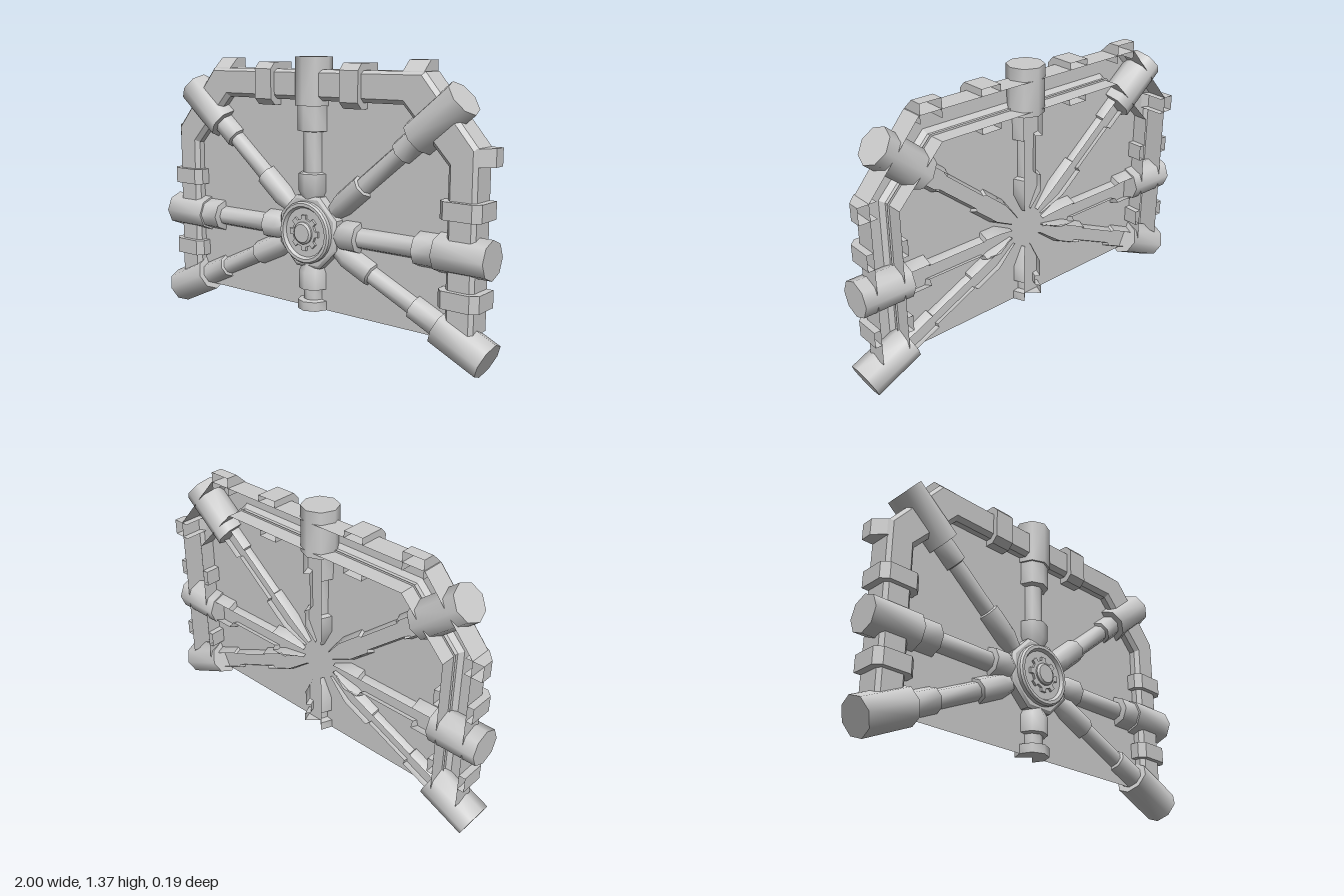
import * as THREE from 'three';
import { toCreasedNormals } from 'three/addons/utils/BufferGeometryUtils.js';

const mat = new THREE.MeshStandardMaterial({ color: 0xcccccc, side: THREE.DoubleSide });
const HUB_Y = 0.53;

function add(parent, name, geometry, crease = 0.9) {
  const mesh = new THREE.Mesh(toCreasedNormals(geometry, crease), mat);
  mesh.name = name;
  parent.add(mesh);
  return mesh;
}

const polygon = (pts) => new THREE.Shape(pts.map(([x, y]) => new THREE.Vector2(x, y)));

// Surface through rows of points, each row having the same count
function skin(rows) {
  const pos = [];
  for (let r = 0; r < rows.length - 1; r++) {
    for (let i = 0; i < rows[r].length - 1; i++) {
      const a = rows[r][i], b = rows[r][i + 1], c = rows[r + 1][i + 1], d = rows[r + 1][i];
      pos.push(...a, ...b, ...c, ...a, ...c, ...d);
    }
  }
  const g = new THREE.BufferGeometry();
  g.setAttribute('position', new THREE.Float32BufferAttribute(pos, 3));
  g.computeVertexNormals();
  return g;
}

// Spoke with its rearmost quarter open, and a closed eight-sided end cylinder
function addSpoke(parent, name, angle, s) {
  const spoke = new THREE.Group();
  spoke.name = name;
  spoke.position.y = HUB_Y;
  spoke.rotation.z = angle - Math.PI / 2;
  const profile = [
    [0.025, 0.1], [s.sleeveR, s.taper], [s.sleeveR, s.sleeve], [s.rodR, s.sleeve + 0.005],
    [s.rodR, s.collar - 0.005], [s.collarR, s.collar], [s.collarR, s.end],
  ].map(([r, y]) => new THREE.Vector2(r, y));
  if (!s.tip) profile.push(new THREE.Vector2(0, s.end));
  add(spoke, 'spokeRod', new THREE.LatheGeometry(profile, 6, -Math.PI * 0.75, Math.PI * 1.5));
  if (s.tip) {
    const end = add(spoke, 'spokeEnd', new THREE.CylinderGeometry(0.09, 0.09, s.tip - s.end, 8));
    end.position.y = (s.tip + s.end) / 2;
  }
  parent.add(spoke);
}

// Open-backed channel: each rail is three points on the right, mirrored to the left
function frameGeometry() {
  return skin([
    [-0.08, [0.905, 0.19], [0.905, 1.0], [0.64, 1.31]],
    [0.03, [0.905, 0.19], [0.905, 1.0], [0.64, 1.31]],
    [0.05, [0.89, 0.19], [0.89, 0.99], [0.63, 1.295]],
    [0.05, [0.785, 0.19], [0.785, 0.925], [0.54, 1.185]],
    [0.03, [0.765, 0.19], [0.765, 0.915], [0.53, 1.165]],
    [-0.08, [0.765, 0.19], [0.765, 0.915], [0.53, 1.165]],
  ].map(([z, ...p]) => [...p, ...p.slice().reverse().map(([x, y]) => [-x, y])].map(([x, y]) => [x, y, z])));
}

// Open-backed shell: an outer section joined to the frame's section at both ends.
// Sections are (across, z); the shell runs along y at the sides and along x on top.
function shell(outer, inner, center, width, onTop) {
  const row = (section, along) => section.map(([u, z]) => (onTop ? [along, u, z] : [u, along, z]));
  const lo = center - width / 2, hi = center + width / 2;
  const rows = [row(inner, lo), row(outer, lo), row(outer, hi), row(inner, hi)];
  return skin(onTop ? rows.reverse() : rows);
}

const clamp = (inner, outer, center, width, onTop) => shell(
  [[outer + 0.033, -0.08], [outer + 0.033, 0.045], [outer, 0.075], [inner, 0.075], [inner - 0.03, 0.045], [inner - 0.03, -0.08]],
  [[outer, -0.08], [outer, 0.03], [outer - 0.015, 0.05], [inner + 0.02, 0.05], [inner, 0.03], [inner, -0.08]],
  center, width, onTop);

const lug = (outer, center, width, onTop) => shell(
  [[outer, -0.08], [outer, -0.02], [outer - 0.05, 0.033], [outer - 0.09, 0.05]],
  [[outer - 0.09, -0.08], [outer - 0.09, -0.02], [outer - 0.09, 0.033], [outer - 0.09, 0.05]],
  center, width, onTop);

export function createModel() {
  const model = new THREE.Group();
  model.name = 'spokedGate';

  // Flat backing panel
  add(model, 'panel', new THREE.ShapeGeometry(polygon([
    [-0.775, 0.14], [0.775, 0.14], [0.775, 0.92], [0.535, 1.175], [-0.535, 1.175], [-0.775, 0.92],
  ])));

  add(model, 'frame', frameGeometry(), 0.4);

  // Clamps and corner lugs along each half of the frame
  for (const side of [-1, 1]) {
    const fittings = new THREE.Group();
    fittings.name = side > 0 ? 'leftFittings' : 'rightFittings';
    fittings.scale.x = side;
    for (const y of [0.34, 0.73]) add(fittings, 'sideClamp', clamp(0.765, 0.905, y, 0.08, false), 0.3);
    add(fittings, 'topClamp', clamp(1.165, 1.31, 0.262, 0.105, true), 0.3);
    add(fittings, 'sideLug', lug(0.96, 0.96, 0.08, false), 0.3);
    add(fittings, 'topLug', lug(1.36, 0.58, 0.11, true), 0.3);
    model.add(fittings);
  }

  // Spokes: distances are measured from the hub
  const level = { sleeveR: 0.075, taper: 0.2, sleeve: 0.285, rodR: 0.05, collar: 0.61, collarR: 0.08, end: 0.715, tip: 0.97 };
  const upper = { sleeveR: 0.06, taper: 0.24, sleeve: 0.39, rodR: 0.045, collar: 0.66, collarR: 0.06, end: 0.77, tip: 1.055 };
  const lower = { ...upper, collar: 0.65, end: 0.8, tip: 1.06 };
  const top = { ...level, collar: 0.49, end: 0.61, tip: 0.84 };
  const bottom = { ...level, collar: 0.345, end: 0.39, tip: 0 };
  for (const left of [true, false]) {
    const turn = (a) => (left ? a : Math.PI - a);
    addSpoke(model, 'levelSpoke', turn(0), level);
    addSpoke(model, 'upperSpoke', turn(0.691), upper);
    addSpoke(model, 'lowerSpoke', turn(-0.433), lower);
  }
  addSpoke(model, 'topSpoke', Math.PI / 2, top);
  addSpoke(model, 'bottomSpoke', -Math.PI / 2, bottom);

  // Hub: base, dished ring, toothed plate and boss
  const hub = new THREE.Group();
  hub.name = 'hub';
  hub.position.y = HUB_Y;
  model.add(hub);
  const turned = (name, pts, sides, phase = 0) => {
    const g = new THREE.LatheGeometry(pts.map(([r, z]) => new THREE.Vector2(r, z)), sides, phase);
    add(hub, name, g.rotateX(Math.PI / 2), 0.5);
  };
  turned('hubBase', [[0.19, 0], [0.19, 0.045], [0.175, 0.055], [0.14, 0.055]], 8, Math.PI / 8);
  turned('hubRing', [[0.153, 0.03], [0.153, 0.074], [0.145, 0.083], [0.13, 0.083], [0.12, 0.068], [0, 0.068]], 24);
  turned('hubBoss', [[0.055, 0.068], [0.055, 0.088], [0.045, 0.096], [0, 0.096]], 16);
  const teeth = [];
  for (let i = 0; i < 8; i++) {
    for (const [r, offset] of [[0.07, -0.2], [0.088, -0.16], [0.088, 0.16], [0.07, 0.2]]) {
      const a = (i * Math.PI) / 4 + offset;
      teeth.push([r * Math.cos(a), r * Math.sin(a)]);
    }
  }
  const plate = new THREE.ExtrudeGeometry(polygon(teeth), { depth: 0.015, bevelEnabled: false });
  add(hub, 'toothedPlate', plate, 0.3).position.z = 0.065;

  return model;
}
